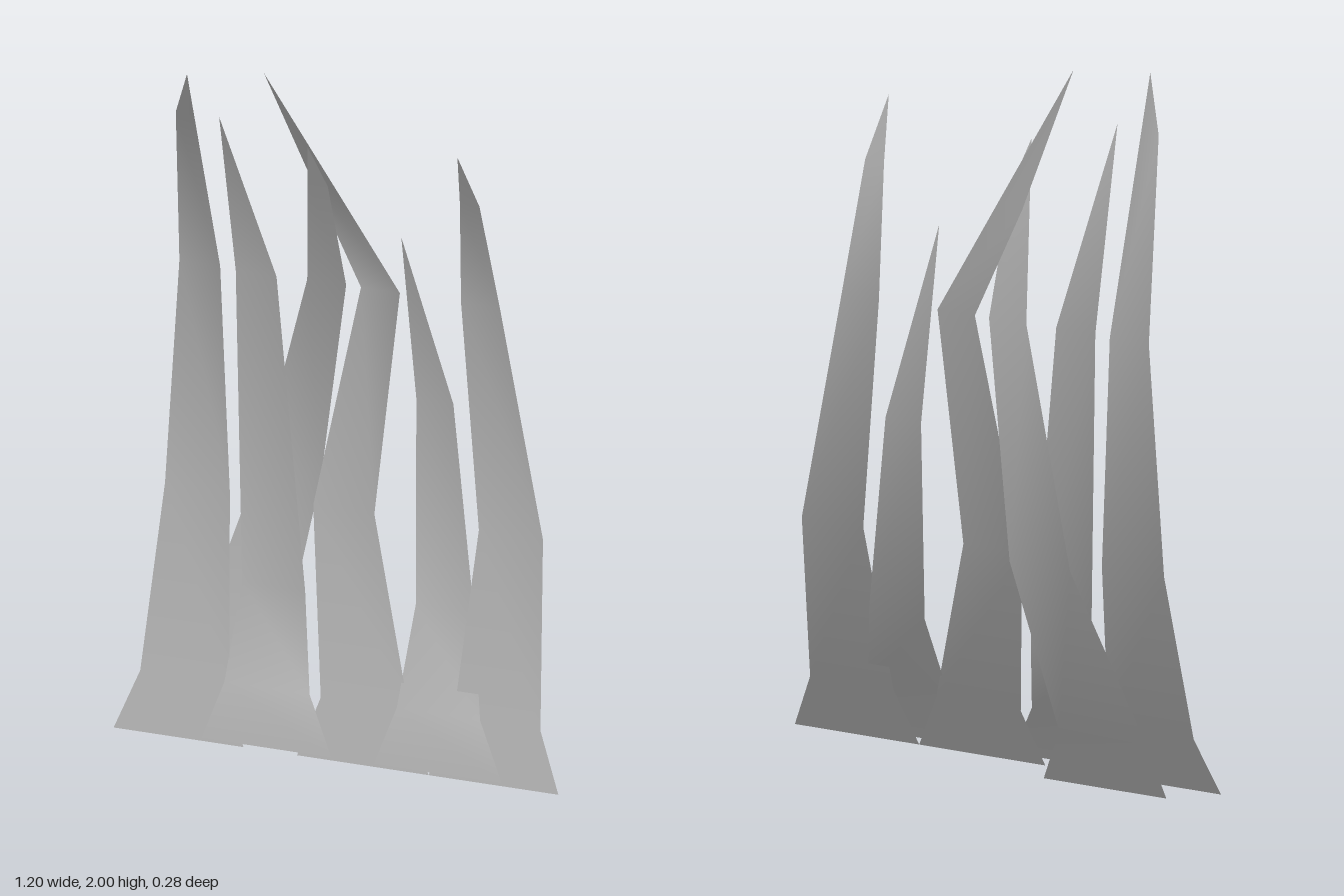
import * as THREE from 'three';

// Each blade is a flat strip through cross-sections from root to tip:
// [y, z, xRight, xLeft, zLeft (only where the strip twists)]
const blades = {
  outerRightBlade: [
    [0, 0.13, -0.6, -0.25], [0.16, 0.09, -0.54, -0.3], [0.66, -0.035, -0.51, -0.335],
    [1.32, -0.065, -0.48, -0.37], [1.85, 0.07, -0.45, -0.397, 0.08], [2, 0.12, -0.405, -0.405],
  ],
  frontRightBlade: [
    [0.015, 0.14, -0.36, -0.01], [0.17, 0.1, -0.31, -0.08], [0.41, -0.012, -0.295, -0.125],
    [1.32, -0.055, -0.325, -0.215], [1.86, 0.08, -0.33, -0.33],
  ],
  backBlade: [
    [0, 0.05, -0.48, -0.135], [0.16, 0.01, -0.44, -0.195], [0.68, -0.14, -0.29, -0.12],
    [1.32, -0.065, -0.135, -0.03], [1.66, 0.018, -0.11, -0.055], [1.79, 0.05, -0.1, -0.1],
  ],
  middleBlade: [
    [0, 0.13, -0.105, 0.25], [0.16, 0.09, -0.053, 0.185], [0.66, -0.035, -0.11, 0.055],
    [1.32, -0.065, 0.01, 0.115], [1.63, -0.045, -0.115, -0.035, -0.008], [2, 0.06, -0.215, -0.215],
  ],
  frontLeftBlade: [
    [0.015, 0.14, 0.105, 0.45], [0.17, 0.1, 0.155, 0.38], [0.42, -0.014, 0.173, 0.33],
    [1, -0.08, 0.155, 0.255], [1.53, 0, 0.138, 0.138],
  ],
  outerLeftBlade: [
    [0, 0.13, 0.25, 0.6], [0.16, 0.09, 0.305, 0.54], [0.66, -0.035, 0.337, 0.51],
    [1.32, -0.065, 0.28, 0.385], [1.67, 0.02, 0.302, 0.355], [1.84, 0.07, 0.31, 0.31],
  ],
};

// Joins the cross-sections into a strip that ends in a single tip point
function bladeGeometry(sections) {
  const points = [], index = [];
  const last = sections.length - 1;
  sections.forEach(([y, z, xr, xl, zl = z], i) => {
    points.push(xr, y, z);
    if (i < last) points.push(xl, y, zl);
    const a = 2 * i;
    if (i < last) index.push(a, a + 1, a + 2);
    if (i < last - 1) index.push(a + 1, a + 3, a + 2);
  });
  const geometry = new THREE.BufferGeometry();
  geometry.setAttribute('position', new THREE.Float32BufferAttribute(points, 3));
  geometry.setIndex(index);
  geometry.computeVertexNormals();
  return geometry;
}

export function createModel() {
  const group = new THREE.Group();
  group.name = 'grassTuft';
  const material = new THREE.MeshStandardMaterial({ color: 0xcccccc, side: THREE.DoubleSide });
  for (const [name, sections] of Object.entries(blades)) {
    const blade = new THREE.Mesh(bladeGeometry(sections), material);
    blade.name = name;
    group.add(blade);
  }
  return group;
}
